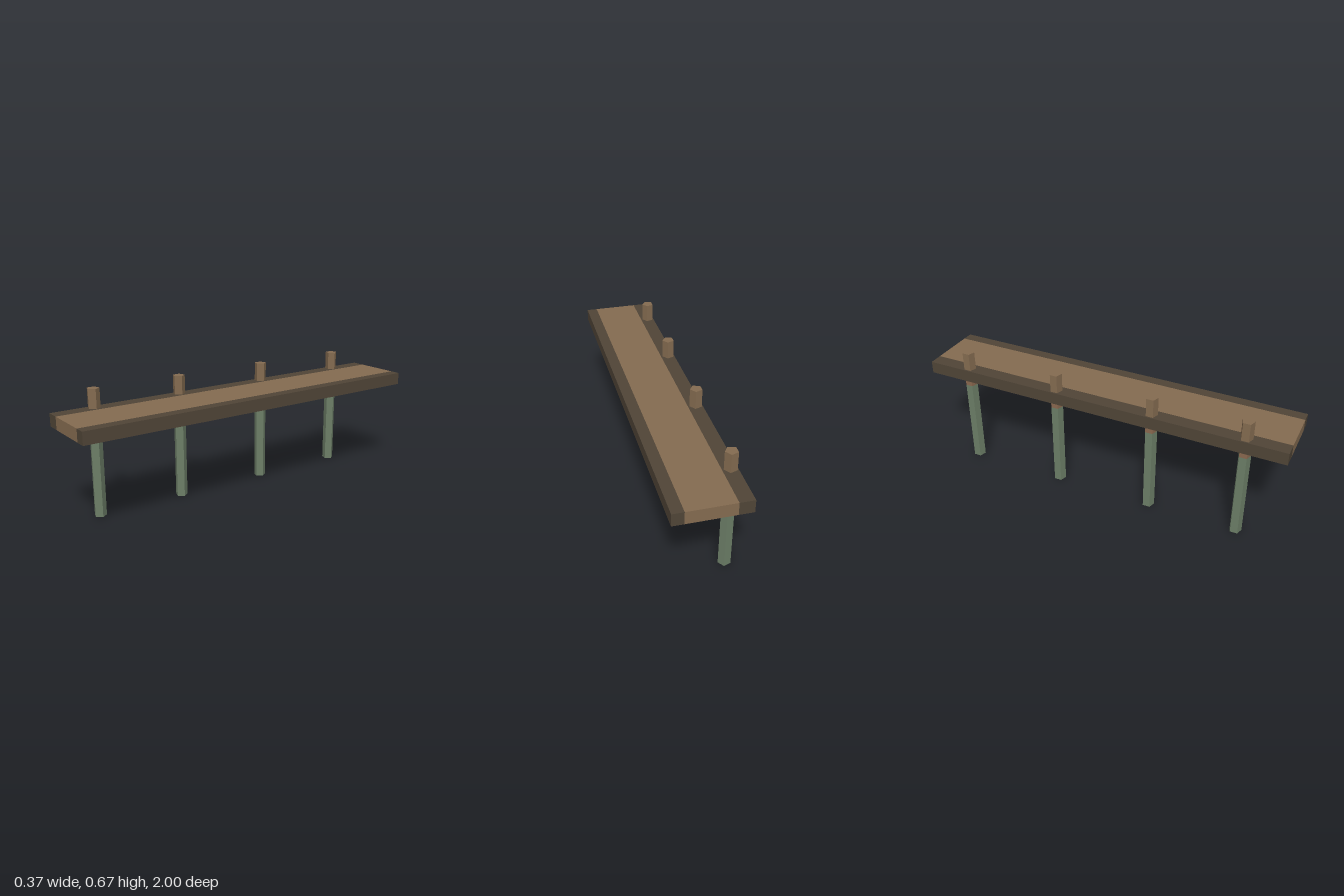
import * as THREE from 'three';

const material = (name, color, flatShading = false) => {
  const m = new THREE.MeshStandardMaterial({ color, flatShading });
  m.name = name;
  return m;
};

export function createModel() {
  const dock = new THREE.Group();
  dock.name = 'dock';
  const wood = material('wood', 0x846b50, true);
  const darkWood = material('dark wood', 0x504537, true);
  const wetWood = material('reddish wood', 0x8a684f, true);
  const algae = material('green algae', 0x6c7e67, true);

  // Deck: a plank between two dark edge bands
  const addPlank = (name, x0, x1, mat) => {
    const plank = new THREE.Mesh(new THREE.BoxGeometry(x1 - x0, 0.066, 2), mat);
    plank.position.set((x0 + x1) / 2, 0.534, 0);
    plank.name = name;
    dock.add(plank);
  };
  addPlank('rightDeckEdge', -0.185, -0.111, darkWood);
  addPlank('deck', -0.111, 0.127, wood);
  addPlank('leftDeckEdge', 0.127, 0.185, darkWood);

  // Five-sided posts, stained in bands from the foot upward
  const bands = [
    ['postFoot', 0, 0.471, algae],
    ['postCollar', 0.471, 0.534, wetWood],
    ['postTop', 0.534, 0.666, wood],
  ];
  for (const z of [0.787, 0.303, -0.232, -0.768]) {
    const post = new THREE.Group();
    post.name = 'post';
    post.position.set(-0.1515, 0, z);
    for (const [name, y0, y1, mat] of bands) {
      const geometry = new THREE.CylinderGeometry(0.0326, 0.0326, y1 - y0, 5, 1, false, Math.PI / 2);
      const band = new THREE.Mesh(geometry, mat);
      band.position.y = (y0 + y1) / 2;
      band.name = name;
      post.add(band);
    }
    dock.add(post);
  }
  return dock;
}
